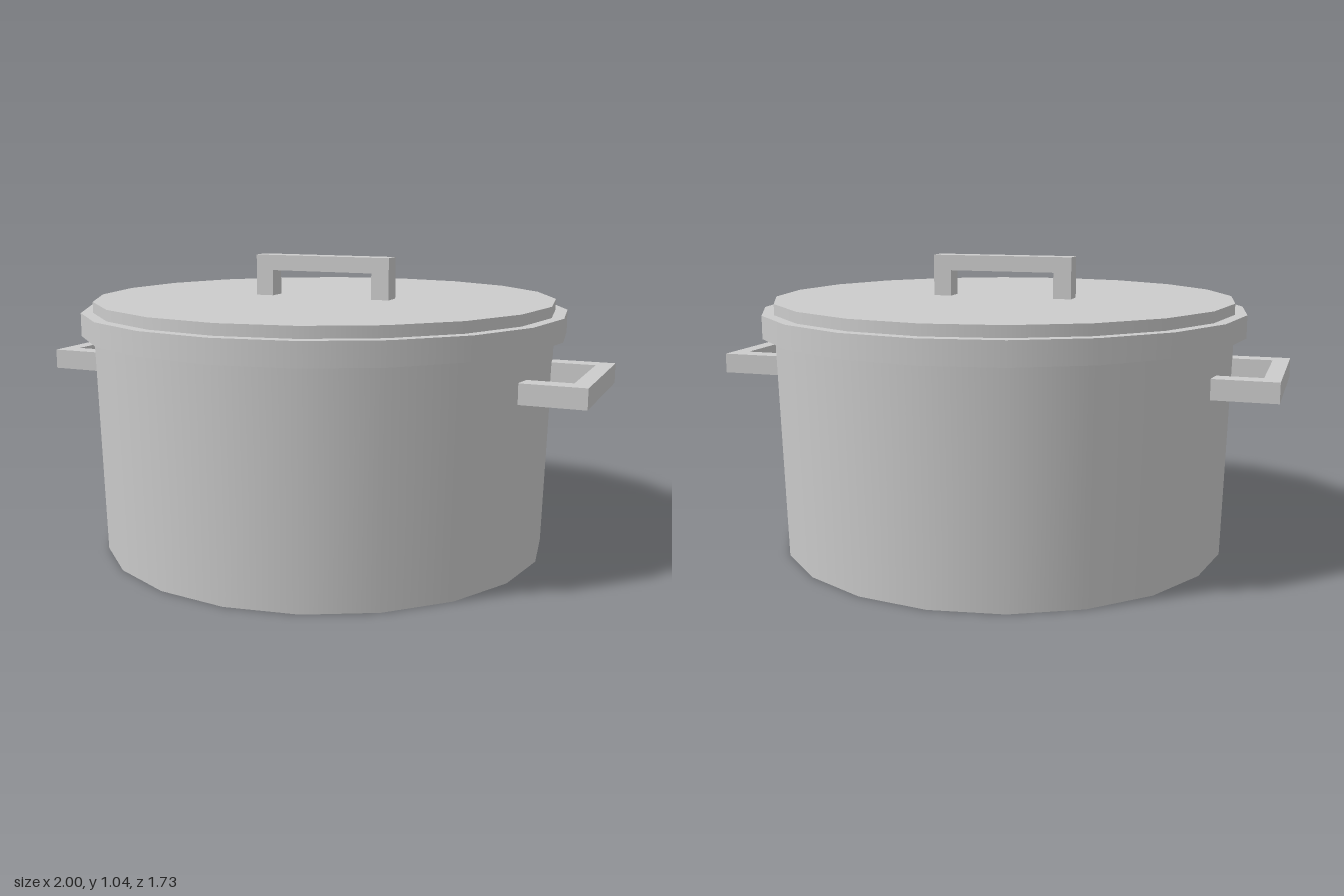
import * as THREE from 'three';

const SIDES = 20;
const material = new THREE.MeshStandardMaterial({ color: 0xcccccc });

// Round tapered part spanning y0..y1
function drum(name, rTop, rBottom, y0, y1) {
  const mesh = new THREE.Mesh(new THREE.CylinderGeometry(rTop, rBottom, y1 - y0, SIDES), material);
  mesh.name = name;
  mesh.position.y = (y0 + y1) / 2;
  return mesh;
}

// U-shaped bracket standing on y = 0, opening downwards, centred in depth
function bracket(name, halfWidth, height, leg, bar, depth) {
  const inner = halfWidth - leg;
  const shape = new THREE.Shape([
    [-halfWidth, 0], [-inner, 0], [-inner, height - bar], [inner, height - bar],
    [inner, 0], [halfWidth, 0], [halfWidth, height], [-halfWidth, height],
  ].map(([x, y]) => new THREE.Vector2(x, y)));
  const geometry = new THREE.ExtrudeGeometry(shape, { depth, bevelEnabled: false });
  geometry.translate(0, 0, -depth / 2);
  const mesh = new THREE.Mesh(geometry, material);
  mesh.name = name;
  return mesh;
}

export function createModel() {
  const group = new THREE.Group();
  group.name = 'cookingPot';

  // Slightly flared body
  group.add(drum('potBody', 0.823, 0.8, 0, 0.8));

  // Lid: overhanging rim with a raised plate
  group.add(drum('lidRim', 0.865, 0.865, 0.775, 0.855));
  group.add(drum('lidPlate', 0.823, 0.823, 0.855, 0.893));

  // Lid handle
  const lidHandle = bracket('lidHandle', 0.257, 0.147, 0.065, 0.055, 0.07);
  lidHandle.position.y = 0.893;
  group.add(lidHandle);

  // Side handles, laid flat and pointing outwards
  for (const side of [1, -1]) {
    const handle = bracket(side > 0 ? 'leftHandle' : 'rightHandle', 0.26, 0.22, 0.07, 0.057, 0.07);
    handle.geometry.rotateX(Math.PI / 2).rotateY(side * Math.PI / 2);
    handle.position.set(side * 0.78, 0.64, 0);
    group.add(handle);
  }
  return group;
}
